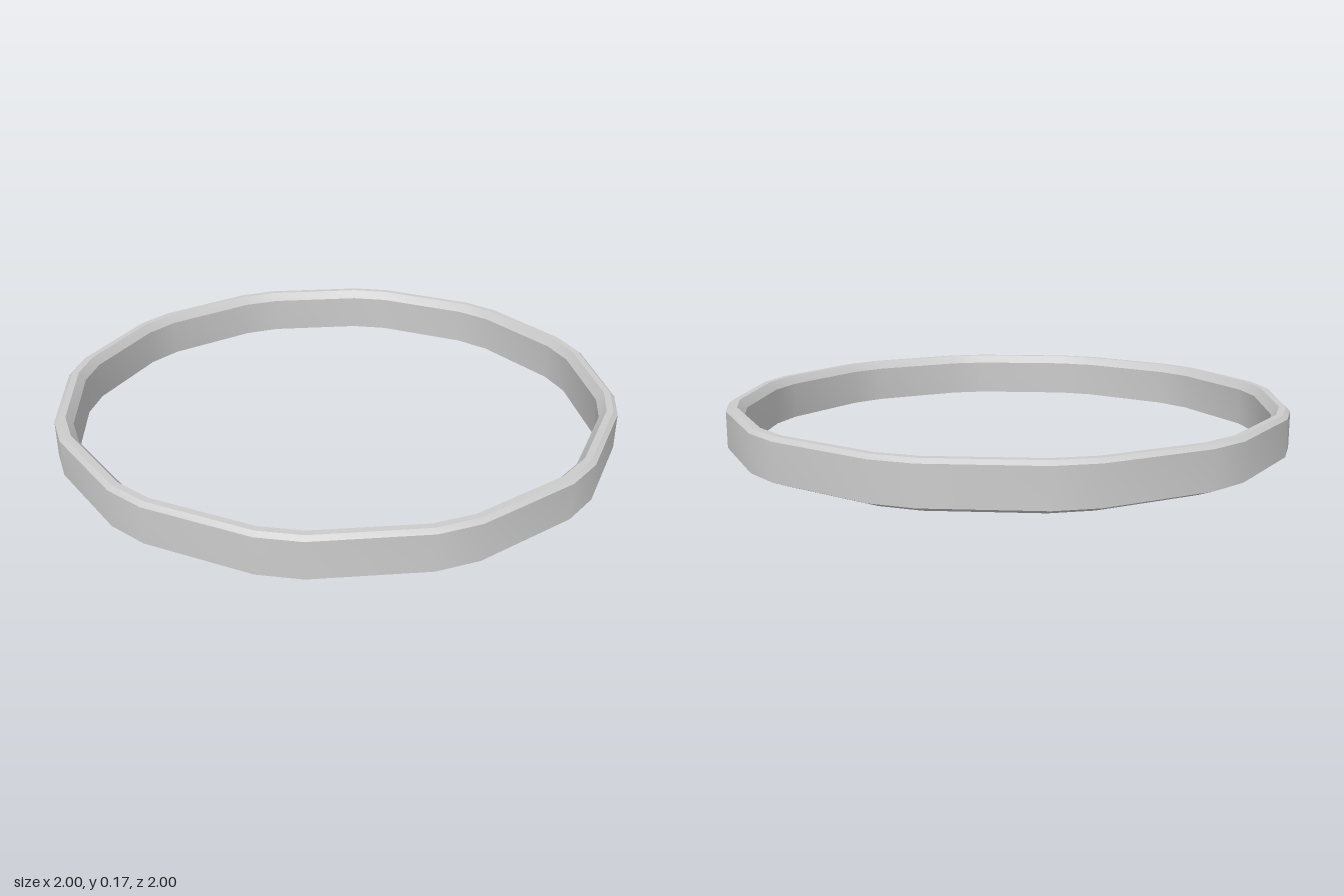
import * as THREE from 'three';
import { toCreasedNormals } from 'three/addons/utils/BufferGeometryUtils.js';

const SIDES = 12;      // long flats around the ring
const HALF = 0.1885;   // half the angle spanned by one long flat, in radians

// Closed cross-section: distance from the axis to a flat, height
const PROFILE = [
  [0.94, 0], [1, 0.025], [1, 0.155], [0.985, 0.168],
  [0.962, 0.168], [0.938, 0.138], [0.94, 0],
];

// Twelve-sided ring whose corners are cut by narrow facets
function makeRing() {
  const points = PROFILE.map(([r, y]) => new THREE.Vector2(r, y));
  const geometry = new THREE.LatheGeometry(points, SIDES * 2);
  const position = geometry.attributes.position;
  for (let v = 0; v < position.count; v++) {
    const column = Math.floor(v / points.length) % (SIDES * 2);
    const { x: r, y } = points[v % points.length];
    // Columns come in pairs, one at each end of a long flat
    const angle = Math.floor(column / 2) * (2 * Math.PI / SIDES) + (column % 2 ? HALF : -HALF);
    const corner = r / Math.cos(HALF);
    position.setXYZ(v, corner * Math.sin(angle), y, corner * Math.cos(angle));
  }
  geometry.deleteAttribute('normal');
  geometry.deleteAttribute('uv');
  return toCreasedNormals(geometry, THREE.MathUtils.degToRad(25));
}

export function createModel() {
  const group = new THREE.Group();
  const material = new THREE.MeshStandardMaterial({ color: 0xcccccc });
  const ring = new THREE.Mesh(makeRing(), material);
  ring.name = 'ring';
  group.add(ring);
  return group;
}
